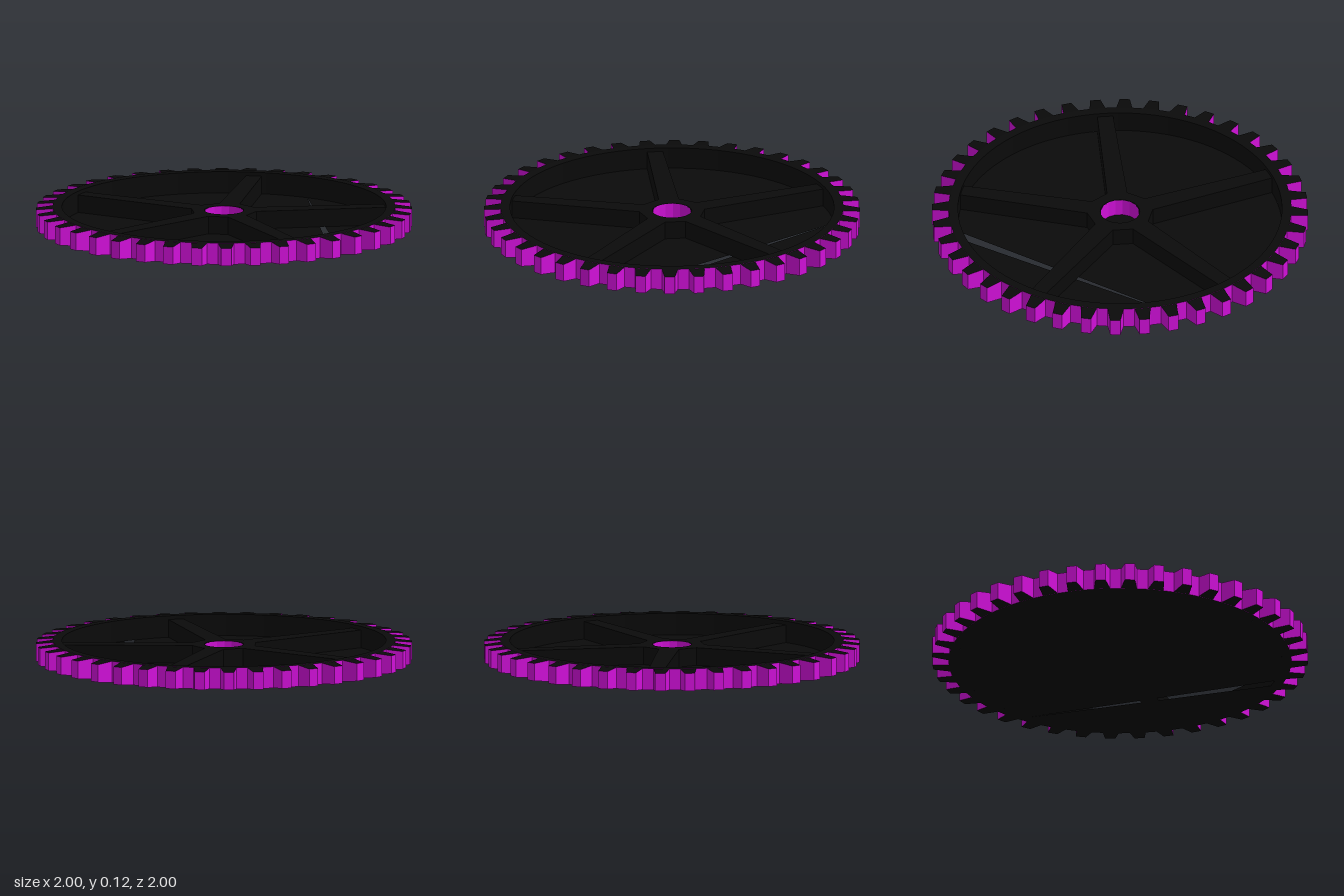
import * as THREE from 'three';

const H = 0.115;        // gear thickness
const R_ROOT = 0.91;    // outer radius between the teeth
const R_IN = 0.86;      // inner radius of the rim
const HUB_TOP = 0.095;  // top of hub and spokes
const R_HOLE = 0.105;
const TEETH = 40, SPOKES = 5;
const rad = THREE.MathUtils.degToRad;

const mat = (color, side = THREE.FrontSide) =>
  new THREE.MeshStandardMaterial({ color, side, flatShading: true });

export function createModel() {
  const group = new THREE.Group();
  const black = mat(0x0a0a0a);
  const blackThin = mat(0x0a0a0a, THREE.DoubleSide);
  const magenta = mat(0xd010d8);
  const magentaInside = mat(0xd010d8, THREE.BackSide);

  const add = (name, geometry, material) => {
    const mesh = new THREE.Mesh(geometry, material);
    mesh.name = name;
    group.add(mesh);
    return mesh;
  };

  // Rim: bottom ring, inner wall and top ring
  const profile = [[R_ROOT, 0], [R_IN, 0], [R_IN, H], [R_ROOT, H]]
    .map(([x, y]) => new THREE.Vector2(x, y));
  add('rim', new THREE.LatheGeometry(profile, 80), blackThin);

  // Coloured outer wall between the teeth
  const wall = new THREE.CylinderGeometry(R_ROOT, R_ROOT, H, 80, 1, true);
  add('rimOuterWall', wall.translate(0, H / 2, 0), magenta);

  // Teeth: boxes narrowed towards the tip, in width and slightly in height
  const tooth = new THREE.BoxGeometry(1, 1, 1);
  const p = tooth.attributes.position;
  for (let i = 0; i < p.count; i++) {
    const tip = p.getX(i) > 0;
    p.setXYZ(i,
      tip ? 0.998 : 0.9,
      H / 2 + p.getY(i) * (tip ? H - 0.02 : H),
      p.getZ(i) * (tip ? 0.054 : 0.088));
  }
  tooth.computeVertexNormals();
  const faces = [magenta, black, black, black, magenta, magenta];
  for (let i = 0; i < TEETH; i++) {
    add('tooth', tooth, faces).rotation.y = -rad(-2.3 + (i * 360) / TEETH);
  }

  // Thin floor in two pieces, leaving a narrow wedge-shaped slit
  for (const [from, to] of [[-6.7, 96.4], [100.8, 353.3]]) {
    const piece = new THREE.Shape();
    piece.absarc(0, 0, R_IN, rad(from), rad(to), false);
    piece.closePath();
    add('floor', new THREE.ShapeGeometry(piece, 40).rotateX(Math.PI / 2), blackThin);
  }

  // Hub and tapering spokes as one star outline with a centre hole
  const star = new THREE.Shape();
  const points = [];
  for (let i = 0; i < SPOKES; i++) {
    const a = rad(45 + (i * 360) / SPOKES);
    for (const [r, w] of [[0.166, -0.054], [0.865, -0.042], [0.865, 0.042], [0.166, 0.054]]) {
      points.push(new THREE.Vector2(r, w).rotateAround(new THREE.Vector2(), a));
    }
  }
  star.setFromPoints(points);
  const hole = new THREE.Path();
  hole.absarc(0, 0, R_HOLE, 0, Math.PI * 2, true);
  star.holes.push(hole);
  const spokes = new THREE.ExtrudeGeometry(star, {
    depth: HUB_TOP, bevelEnabled: false, curveSegments: 12,
  });
  add('hubAndSpokes', spokes.rotateX(Math.PI / 2).translate(0, HUB_TOP, 0), black);

  // Coloured lining of the centre hole
  const lining = new THREE.CylinderGeometry(R_HOLE - 0.004, R_HOLE - 0.004, HUB_TOP, 16, 1, true);
  add('holeLining', lining.translate(0, HUB_TOP / 2, 0), magentaInside);

  return group;
}
